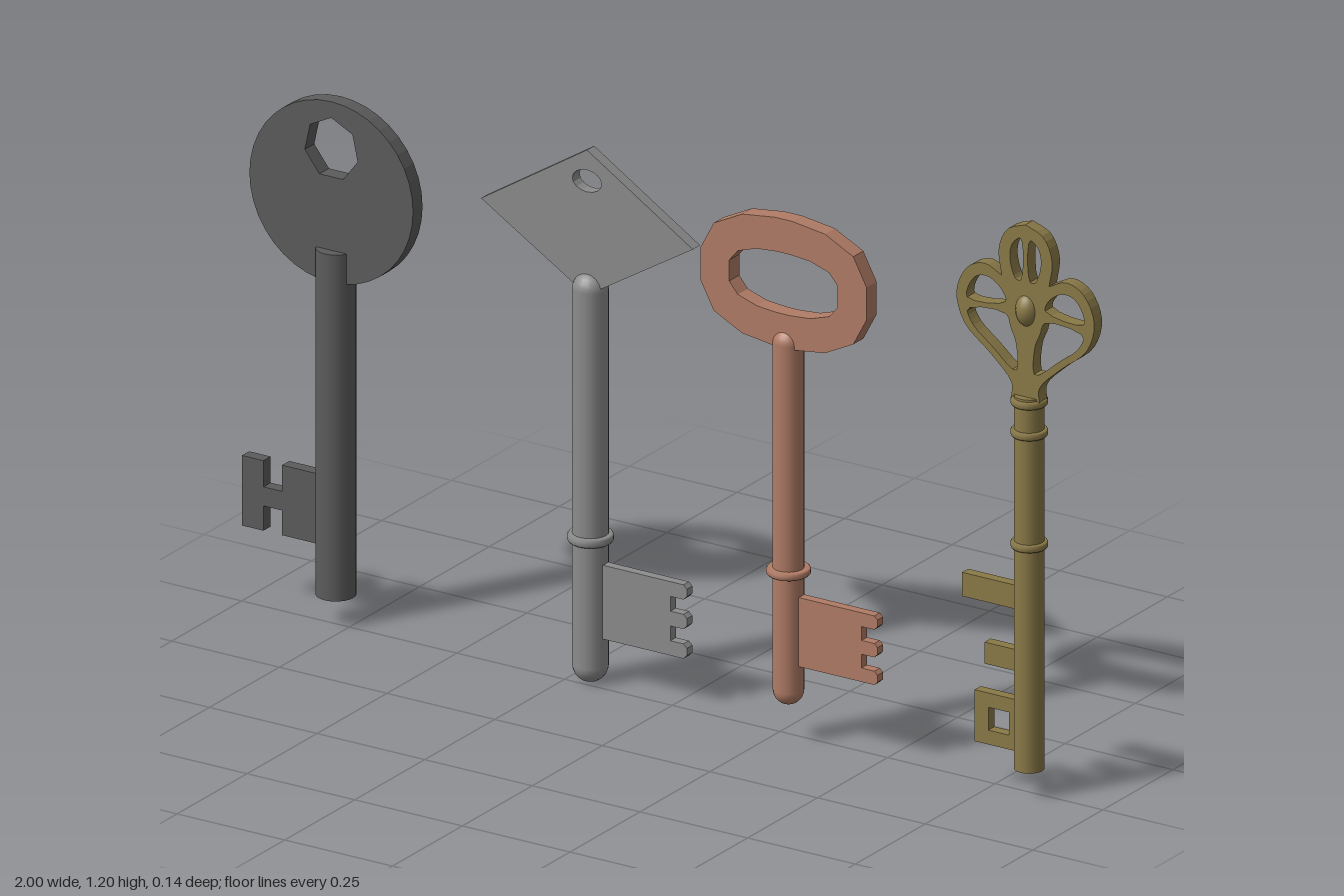
import * as THREE from 'three';

const V = (pts) => pts.map(([x, y]) => new THREE.Vector2(x, y));
const polygon = (cx, cy, rx, ry, n, start = Math.PI / 2) =>
  Array.from({ length: n }, (_, i) => {
    const a = start + (i / n) * Math.PI * 2;
    return [cx + rx * Math.cos(a), cy + ry * Math.sin(a)];
  });
const mirror = (pts) => pts.map(([x, y]) => [-x, y]).reverse();
// Smooth closed or open curve sampled through a few points
const smooth = (pts, n, closed = true) =>
  new THREE.CatmullRomCurve3(pts.map(([x, y]) => new THREE.Vector3(x, y, 0)), closed, 'centripetal')
    .getPoints(n).slice(0, closed ? n : n + 1).map((p) => [p.x, p.y]);

// Group for one key, with helpers that add parts around its own axis
function makeKey(name, color, x, z) {
  const group = new THREE.Group();
  group.name = name;
  group.position.set(x, 0, z);
  const material = new THREE.MeshStandardMaterial({ color });
  const add = (part, geometry, y = 0) => {
    const mesh = new THREE.Mesh(geometry, material);
    mesh.name = part;
    mesh.position.y = y;
    group.add(mesh);
    return mesh;
  };
  return {
    group,
    add,
    plate(part, outline, depth, holes = []) {
      const shape = new THREE.Shape(V(outline));
      shape.holes = holes.map((h) => new THREE.Path(V(h)));
      const geometry = new THREE.ExtrudeGeometry(shape, { depth, bevelEnabled: false });
      return add(part, geometry.translate(0, 0, -depth / 2));
    },
    rod(r, y0, y1) {
      add('shaft', new THREE.CylinderGeometry(r, r, y1 - y0, 20), (y0 + y1) / 2);
    },
    roundRod(r, y0, y1) {
      add('shaft', new THREE.CapsuleGeometry(r, y1 - y0 - 2 * r, 6, 20), (y0 + y1) / 2);
    },
    collar(r, y, h) {
      const profile = V([[0, -h / 2], [r * 0.93, -h / 2], [r, -h / 4], [r, h / 4], [r * 0.93, h / 2], [0, h / 2]]);
      add('collar', new THREE.LatheGeometry(profile, 20), y);
    },
  };
}

// Bit with three rounded teeth on its outer edge
function toothedBit(x1, y0, y1, notch) {
  const pts = [[0, y0]];
  const step = (y1 - y0) / 5;
  const c = step * 0.25;
  for (let i = 0; i < 3; i++) {
    const a = y0 + i * 2 * step, b = a + step;
    if (i > 0) pts.push([x1 - notch, a]);
    pts.push([x1 - c, a], [x1, a + c], [x1, b - c], [x1 - c, b]);
    if (i < 2) pts.push([x1 - notch, b]);
  }
  pts.push([0, y1]);
  return pts;
}

function discKey() {
  const k = makeKey('discKey', 0x5c5c5c, -0.79, -0.014);
  k.plate('bow', polygon(0, 0.907, 0.19, 0.19, 40), 0.034, [polygon(0, 0.998, 0.063, 0.065, 7)]);
  k.rod(0.04, 0.058, 0.785);
  k.plate('bit', [
    [0, 0.16], [0, 0.307], [-0.117, 0.307], [-0.117, 0.252], [-0.16, 0.252], [-0.16, 0.307], [-0.21, 0.307],
    [-0.21, 0.16], [-0.16, 0.16], [-0.16, 0.212], [-0.117, 0.212], [-0.117, 0.16],
  ], 0.026);
  return k.group;
}

function diamondKey() {
  const k = makeKey('diamondKey', 0x8c8c8c, -0.204, -0.022);
  k.plate('bow', [[0, 0.815], [0.246, 0.965], [0, 1.12], [-0.246, 0.965]], 0.026,
    [polygon(0, 1.055, 0.034, 0.023, 16)]);
  k.roundRod(0.036, 0.002, 0.862);
  k.collar(0.046, 0.305, 0.018);
  k.plate('bit', toothedBit(0.23, 0.1, 0.255, 0.038), 0.02);
  return k.group;
}

function ovalKey() {
  const k = makeKey('ovalKey', 0xb07c66, 0.287, 0.026);
  // Faceted oval bow, one quarter mirrored to all sides
  const oval = (q) => {
    const right = [...q.map(([x, y]) => [x, -y]).reverse(), ...q];
    return [...right, ...mirror(right)].map(([x, y]) => [x, y + 0.965]);
  };
  k.plate('bow',
    oval([[0.193, 0.034], [0.162, 0.092], [0.096, 0.125], [0.02, 0.135]]), 0.036,
    [oval([[0.126, 0.022], [0.106, 0.046], [0.062, 0.06], [0.015, 0.064]])]);
  k.roundRod(0.031, 0.078, 0.868);
  k.collar(0.044, 0.358, 0.015);
  k.plate('bit', toothedBit(0.213, 0.165, 0.31, 0.037), 0.02);
  return k.group;
}

function ornateKey() {
  const k = makeKey('ornateKey', 0x8a7a48, 0.837, 0.012);
  // Three-lobed bow with pierced petals
  const side = smooth([[0.033, 0.835], [0.032, 0.865], [0.08, 0.915], [0.142, 0.968], [0.16, 1.03],
    [0.135, 1.085], [0.095, 1.102], [0.055, 1.085]], 28, false);
  const lobe = smooth([[0.055, 1.085], [0.062, 1.14], [0.042, 1.185], [0, 1.203]], 10, false).slice(1);
  const right = [...side, ...lobe];
  const holes = [
    [[0.011, 1.085], [0.022, 1.085], [0.036, 1.125], [0.03, 1.158], [0.011, 1.172]],
    [[0.046, 1.032], [0.135, 1.022], [0.132, 1.047], [0.112, 1.072], [0.085, 1.075], [0.055, 1.055]],
    [[0.045, 1.006], [0.134, 0.997], [0.122, 0.968], [0.08, 0.934], [0.022, 0.892], [0.022, 0.95], [0.034, 0.98]],
  ].map((h) => smooth(h, 24));
  k.plate('bow', [...right, ...mirror(right).slice(1)], 0.028, [...holes, ...holes.map(mirror)]);
  const boss = k.add('boss', new THREE.SphereGeometry(1, 20, 12), 1.022);
  boss.scale.set(0.026, 0.036, 0.03);
  k.rod(0.03, 0.058, 0.842);
  for (const y of [0.53, 0.765, 0.83]) k.collar(0.037, y, 0.015);
  // Two plain wards and a pierced one
  const ward = (x, y0, y1) => [[0, y0], [0, y1], [x, y1], [x, y0]];
  k.plate('upperWard', ward(-0.149, 0.39, 0.44), 0.022);
  k.plate('middleWard', ward(-0.097, 0.26, 0.305), 0.022);
  k.plate('lowerWard', ward(-0.12, 0.092, 0.2), 0.022,
    [[[-0.088, 0.122], [-0.04, 0.122], [-0.04, 0.17], [-0.088, 0.17]]]);
  return k.group;
}

export function createModel() {
  const model = new THREE.Group();
  model.name = 'keySet';
  model.add(discKey(), diamondKey(), ovalKey(), ornateKey());
  return model;
}
